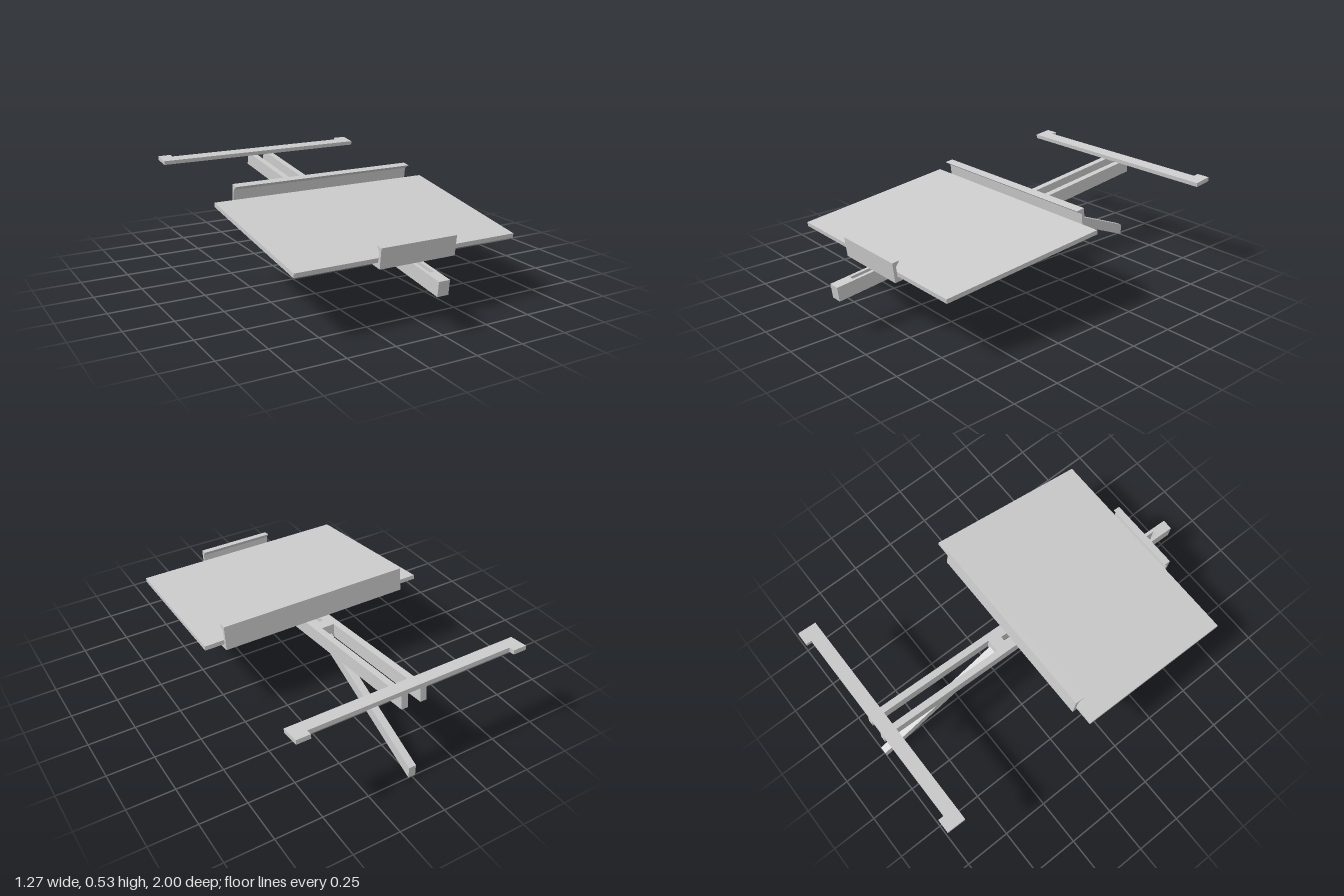
import * as THREE from 'three';

const grey = new THREE.MeshStandardMaterial({ color: 0xcccccc, flatShading: true });

const toShape = (pts) => new THREE.Shape(pts.map(([a, b]) => new THREE.Vector2(a, b)));

function addMesh(parent, name, geometry) {
  const mesh = new THREE.Mesh(geometry, grey);
  mesh.name = name;
  parent.add(mesh);
  return mesh;
}

// Side profile of [z, y] points, extruded across the width and centred on x = 0.
function profile(pts, width) {
  const g = new THREE.ExtrudeGeometry(toShape(pts), { depth: width, bevelEnabled: false });
  return g.translate(0, 0, -width / 2).rotateY(-Math.PI / 2);
}

// Plan outline of [x, z] points, extruded upwards from y0 to y1.
function plan(pts, y0, y1, holes = []) {
  const flip = (list) => list.map(([x, z]) => [x, -z]);
  const shape = toShape(flip(pts));
  holes.forEach((h) => shape.holes.push(toShape(flip(h))));
  const g = new THREE.ExtrudeGeometry(shape, { depth: y1 - y0, bevelEnabled: false });
  return g.rotateX(-Math.PI / 2).translate(0, y0, 0);
}

// Completes a half outline by mirroring it in x.
const mirrored = (half) => [...half, ...half.map(([x, z]) => [-x, z]).reverse()];

export function createModel() {
  const model = new THREE.Group();
  model.name = 'tableEasel';

  // Everything but the leg lies on one tilted plane; local y = 0 is the beam's underside.
  const tilted = new THREE.Group();
  tilted.name = 'tiltedAssembly';
  tilted.position.y = 0.307;
  tilted.rotation.x = 0.1218;
  model.add(tilted);

  // Beam: narrow slotted front, wider forked back
  const beam = mirrored([
    [0.03, 0.998], [0.03, 0.055], [0.07, 0.055], [0.07, -0.975], [0.035, -0.975], [0.035, -0.25],
  ]);
  const slot = mirrored([[0.012, 0.9], [0.012, -0.185]]);
  addMesh(tilted, 'beam', plan(beam, 0, 0.075, [slot]));

  // Crossbar with a tab at each end
  const bar = mirrored([[0.632, -0.907], [0.632, -1.008], [0.558, -1.008], [0.558, -0.977]]);
  addMesh(tilted, 'crossbar', plan(bar, 0.075, 0.098));

  // Board with one slanted side and a shallow recess underneath
  const board = [[-0.635, 0.767], [0.58, 0.767], [0.632, -0.13], [-0.635, -0.13]];
  const recess = [[-0.59, 0.722], [0.537, 0.722], [0.585, -0.085], [-0.59, -0.085]];
  addMesh(tilted, 'boardPanel', plan(board, 0.112, 0.123));
  addMesh(tilted, 'boardRim', plan(board, 0.1, 0.112, [recess]));

  // Hooked ledges holding the front and back edges of the board
  addMesh(tilted, 'frontLedge', profile([
    [0.789, 0.075], [0.789, 0.18], [0.749, 0.18], [0.772, 0.155],
    [0.772, 0.1], [0.696, 0.1], [0.696, 0.075],
  ], 0.42));
  addMesh(tilted, 'backLedge', profile([
    [-0.15, 0.075], [-0.15, 0.204], [-0.1, 0.204], [-0.133, 0.178],
    [-0.133, 0.1], [-0.075, 0.1], [-0.075, 0.075],
  ], 1.056));

  // Prop leg, pivoting inside the fork and cut upright at its foot
  addMesh(model, 'leg', profile([
    [-0.18, 0.328], [-1, 0], [-1, 0.062], [-0.24, 0.364], [-0.2, 0.368],
  ], 0.04));

  return model;
}
